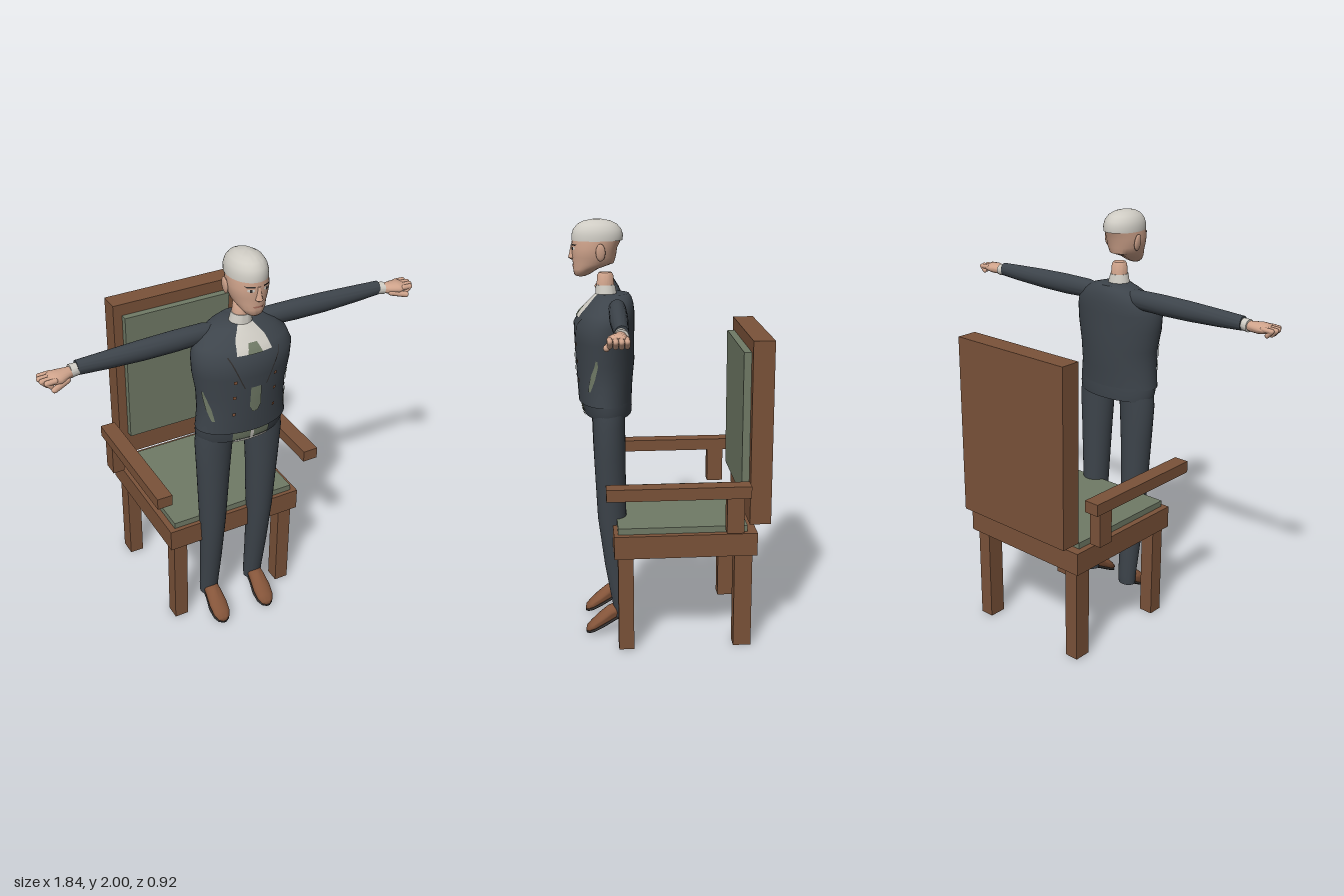
import * as THREE from 'three';
import { toCreasedNormals } from 'three/addons/utils/BufferGeometryUtils.js';

const mat = (name, color, side = THREE.FrontSide) => {
  const m = new THREE.MeshStandardMaterial({ color, side });
  m.name = name;
  return m;
};

// Closed tube through elliptical rings [y, radiusX, radiusZ, centreX, centreZ], listed upwards
function loft(rings, sides = 32) {
  const n = rings.length - 1;
  const geo = new THREE.CylinderGeometry(1, 1, 1, sides, n);
  const p = geo.attributes.position;
  for (let i = 0; i < p.count; i++) {
    const [y, rx, rz, cx, cz] = rings[Math.round((p.getY(i) + 0.5) * n)];
    p.setXYZ(i, cx + rx * p.getX(i), y, cz + rz * p.getZ(i));
  }
  return toCreasedNormals(geo, 0.8);
}

// Ring of a loft at height y
function ringAt(rings, y) {
  let i = 0;
  while (i < rings.length - 2 && rings[i + 1][0] < y) i++;
  const a = rings[i], b = rings[i + 1];
  const t = THREE.MathUtils.clamp((y - a[0]) / (b[0] - a[0]), 0, 1);
  return a.map((v, k) => v + (b[k] - v) * t);
}

// Thin skin lying on a loft, rows [y, x0, x1] upwards; x is measured along the front
function patch(rings, rows, lift = 0.004) {
  const cols = 6, steps = 6 * (rows.length - 1);
  const geo = new THREE.PlaneGeometry(1, 1, cols, steps);
  const p = geo.attributes.position;
  for (let i = 0; i < p.count; i++) {
    const [y, x0, x1] = ringAt(rows, rows[0][0] + (p.getY(i) + 0.5) * (rows[rows.length - 1][0] - rows[0][0]));
    const [, rx, rz, cx, cz] = ringAt(rings, y);
    const x = x0 + (x1 - x0) * (p.getX(i) + 0.5);
    const a = Math.asin(THREE.MathUtils.clamp(x / rx, -1, 1));
    p.setXYZ(i, cx + (rx + lift) * Math.sin(a), y, cz + (rz + lift) * Math.cos(a));
  }
  geo.computeVertexNormals();
  return geo;
}

const TORSO = [
  [1.16, 0.222, 0.125, 0, 0.297], [1.25, 0.212, 0.13, 0, 0.297], [1.35, 0.215, 0.138, 0, 0.295],
  [1.45, 0.235, 0.14, 0, 0.297], [1.53, 0.24, 0.142, 0, 0.297], [1.58, 0.222, 0.126, 0, 0.281],
  [1.62, 0.175, 0.105, 0, 0.265], [1.645, 0.13, 0.088, 0, 0.257], [1.66, 0.08, 0.075, 0, 0.255],
];
const HIPS = [
  [1.1, 0.21, 0.112, 0, 0.285], [1.13, 0.218, 0.117, 0, 0.288], [1.17, 0.218, 0.12, 0, 0.292],
];
const HEAD = [
  [1.742, 0.025, 0.022, 0, 0.4], [1.752, 0.04, 0.038, 0, 0.394], [1.775, 0.058, 0.058, 0, 0.377],
  [1.8, 0.072, 0.094, 0, 0.342], [1.83, 0.083, 0.1, 0, 0.338], [1.87, 0.09, 0.105, 0, 0.336],
  [1.91, 0.087, 0.113, 0, 0.325],
];
const HAIR = [
  [1.905, 0.088, 0.117, 0, 0.323], [1.93, 0.088, 0.118, 0, 0.322], [1.955, 0.081, 0.11, 0, 0.322],
  [1.978, 0.066, 0.09, 0, 0.322], [1.992, 0.043, 0.062, 0, 0.322], [2, 0.012, 0.02, 0, 0.322],
];

export function createModel() {
  const model = new THREE.Group();
  model.name = 'manWithArmchair';
  const D = THREE.DoubleSide;
  const wood = mat('wood', 0x7a5239), green = mat('sageCloth', 0x707a66, D);
  const suit = mat('suitCloth', 0x3d444b), skin = mat('skin', 0xd0a48c);
  const white = mat('whiteLinen', 0xcfccc4, D), leather = mat('shoeLeather', 0x85553a);
  const dark = mat('darkSole', 0x302d2c, D), lip = mat('lips', 0xa9705f, D);

  const add = (name, geo, material, parent = model) => {
    const m = new THREE.Mesh(geo, material);
    m.name = name;
    parent.add(m);
    return m;
  };
  const group = (name) => {
    const g = new THREE.Group();
    g.name = name;
    model.add(g);
    return g;
  };

  // Armchair: boxes given by their limits
  const chair = group('armchair');
  const box = (name, x0, x1, y0, y1, z0, z1, m) =>
    add(name, new THREE.BoxGeometry(x1 - x0, y1 - y0, z1 - z0), m, chair)
      .position.set((x0 + x1) / 2, (y0 + y1) / 2, (z0 + z1) / 2);
  box('seatFrame', -0.35, 0.35, 0.47, 0.58, -0.395, 0.275, wood);
  box('seatCushion', -0.32, 0.32, 0.58, 0.61, -0.35, 0.255, green);
  box('backrest', -0.325, 0.325, 0.615, 1.485, -0.46, -0.36, wood);
  box('backCushion', -0.28, 0.28, 0.74, 1.425, -0.36, -0.325, green);
  for (const s of [-1, 1]) {
    const side = (name, a, b, ...rest) => box(name, Math.min(s * a, s * b), Math.max(s * a, s * b), ...rest, wood);
    side('frontLeg', 0.257, 0.327, 0, 0.47, 0.185, 0.257);
    side('rearLeg', 0.257, 0.327, 0, 0.47, -0.375, -0.29);
    side('armrest', 0.355, 0.43, 0.78, 0.837, -0.35, 0.31);
    side('armPost', 0.36, 0.42, 0.61, 0.78, -0.32, -0.24);
  }

  // Jacket, waistcoat and shirt front
  const body = group('body');
  add('jacket', loft(TORSO, 48), suit, body);
  add('hips', loft(HIPS, 48), suit, body);
  add('waistcoatHem', patch(HIPS, [[1.112, -0.09, 0.09], [1.16, -0.09, 0.09]]), green, body);
  add('belt', patch(HIPS, [[1.1, -0.085, 0.085], [1.112, -0.085, 0.085]], 0.006), white, body);
  add('beltClasp', patch(HIPS, [[1.11, -0.008, 0.008], [1.155, -0.008, 0.008]], 0.007), white, body);
  add('shirtFront', patch(TORSO, [[1.56, -0.085, 0.085], [1.615, -0.07, 0.07], [1.66, -0.035, 0.035]]), white, body);
  add('tie', patch(TORSO, [[1.56, -0.035, 0.035], [1.6, -0.02, 0.02]], 0.007), green, body);
  add('waistcoat', patch(TORSO, [[1.27, -0.012, 0.012], [1.3, -0.027, 0.027], [1.4, -0.025, 0.025]]), green, body);
  for (const s of [-1, 1]) {
    const at = (rows) => rows.map(([y, a, b]) => s > 0 ? [y, a, b] : [y, -b, -a]);
    add('sidePanel', patch(TORSO, at([[1.23, 0.168, 0.18], [1.29, 0.18, 0.198], [1.38, 0.208, 0.212]])), green, body);
    add('lapelEdge', patch(TORSO, at([[1.4, 0.05, 0.055], [1.56, 0.12, 0.126]]), 0.003), dark, body);
    for (const y of [1.27, 1.36, 1.44])
      add('button', patch(TORSO, at([[y - 0.008, 0.089, 0.103], [y + 0.008, 0.089, 0.103]]), 0.006), leather, body);
  }

  // Neck and collar
  add('collar', loft([[1.645, 0.056, 0.052, 0, 0.285], [1.7, 0.042, 0.044, 0, 0.288]]), white, body);
  add('neck', loft([[1.69, 0.04, 0.042, 0, 0.288], [1.745, 0.036, 0.037, 0, 0.288],
    [1.757, 0.028, 0.03, 0, 0.288]]), skin, body);

  // Head
  const head = group('head');
  add('face', loft(HEAD, 40), skin, head);
  add('hair', loft(HAIR, 40), white, head);
  const nose = add('nose', loft([[1.817, 0.006, 0.006, 0, 0.437], [1.826, 0.017, 0.02, 0, 0.438],
    [1.845, 0.011, 0.014, 0, 0.438], [1.885, 0.007, 0.006, 0, 0.438]], 12), skin, head);
  nose.name = 'nose';
  add('mouth', patch(HEAD, [[1.787, -0.02, 0.02], [1.795, -0.024, 0.024]], 0.003), lip, head);
  for (const s of [-1, 1]) {
    const at = (rows) => rows.map(([y, a, b]) => s > 0 ? [y, a, b] : [y, -b, -a]);
    add('eye', patch(HEAD, at([[1.864, 0.026, 0.042], [1.87, 0.02, 0.05], [1.877, 0.024, 0.046]]), 0.002), white, head);
    add('pupil', patch(HEAD, at([[1.864, 0.03, 0.04], [1.877, 0.03, 0.04]]), 0.004), dark, head);
    add('eyebrow', patch(HEAD, at([[1.884, 0.016, 0.05], [1.89, 0.02, 0.058]]), 0.004), dark, head);
    const ear = add('ear', new THREE.SphereGeometry(1, 16, 12), skin, head);
    ear.scale.set(0.01, 0.04, 0.022);
    ear.position.set(s * 0.091, 1.856, 0.31);
    ear.rotation.z = -s * 0.12;
  }

  // Arms, hands, legs and shoes
  for (const s of [-1, 1]) {
    const arm = group(s > 0 ? 'leftArm' : 'rightArm');
    // Rings run outward along x: [x, halfHeight, halfDepth, y, z]
    const along = (rings, sides) => loft(rings.map(([x, h, d, y, z]) => [x, h, d, -s * y, z]), sides)
      .rotateZ(-s * Math.PI / 2);
    add('sleeve', along([[0.1, 0.035, 0.03, 1.61, 0.24], [0.16, 0.046, 0.04, 1.608, 0.24],
      [0.3, 0.049, 0.041, 1.606, 0.242], [0.45, 0.047, 0.04, 1.605, 0.244],
      [0.62, 0.04, 0.034, 1.605, 0.245], [0.745, 0.033, 0.029, 1.606, 0.245]]), suit, arm);
    add('cuff', along([[0.735, 0.027, 0.025, 1.603, 0.248], [0.775, 0.029, 0.031, 1.6, 0.248]]), white, arm);
    add('palm', along([[0.76, 0.02, 0.022, 1.6, 0.25], [0.79, 0.024, 0.033, 1.598, 0.256],
      [0.83, 0.026, 0.046, 1.598, 0.263], [0.86, 0.022, 0.045, 1.6, 0.262],
      [0.875, 0.012, 0.036, 1.6, 0.26]], 20), skin, arm);
    const digit = (name, r, a, b) => {
      const p = new THREE.Vector3(s * a[0], a[1], a[2]), q = new THREE.Vector3(s * b[0], b[1], b[2]);
      const m = add(name, new THREE.CapsuleGeometry(r, p.distanceTo(q), 4, 10), skin, arm);
      m.position.copy(p).add(q).multiplyScalar(0.5);
      m.quaternion.setFromUnitVectors(new THREE.Vector3(0, 1, 0), q.sub(p).normalize());
    };
    [0.9, 0.908, 0.905, 0.892].forEach((x, i) => {
      const z = 0.229 + i * 0.023;
      digit('finger', 0.012, [0.855, 1.604, z], [x, 1.602, z]);
      digit('fingertip', 0.011, [x, 1.6, z], [x - 0.02, 1.58, z]);
    });
    digit('thumb', 0.014, [0.8, 1.585, 0.285], [0.865, 1.572, 0.31]);

    const leg = group(s > 0 ? 'leftLeg' : 'rightLeg');
    add('trouserLeg', loft([[0.09, 0.046, 0.038, s * 0.126, 0.235], [0.14, 0.048, 0.042, s * 0.126, 0.235],
      [0.35, 0.054, 0.055, s * 0.127, 0.258], [0.6, 0.064, 0.068, s * 0.128, 0.276],
      [0.9, 0.08, 0.074, s * 0.129, 0.283], [1.06, 0.091, 0.076, s * 0.128, 0.285],
      [1.13, 0.088, 0.076, s * 0.124, 0.285]]), suit, leg);
    const shoe = new THREE.Group();
    shoe.name = 'shoe';
    shoe.position.set(s * 0.126, 0.077, 0.315);
    shoe.rotation.x = 0.5;
    leg.add(shoe);
    // Rings run from heel to toe
    add('shoeUpper', loft([[-0.105, 0.02, 0.02, 0, -0.002], [-0.085, 0.036, 0.032, 0, -0.008],
      [-0.04, 0.04, 0.036, 0, -0.01], [0.02, 0.046, 0.03, 0, -0.003], [0.07, 0.043, 0.022, 0, 0.004],
      [0.1, 0.03, 0.016, 0, 0.008], [0.113, 0.01, 0.006, 0, 0.012]], 24).rotateX(Math.PI / 2), leather, shoe);
    add('sole', loft([[-0.11, 0.018, 0.006, 0, 0.023], [-0.09, 0.036, 0.009, 0, 0.023],
      [-0.03, 0.038, 0.009, 0, 0.023], [0.03, 0.049, 0.009, 0, 0.022], [0.08, 0.044, 0.009, 0, 0.022],
      [0.105, 0.03, 0.008, 0, 0.021], [0.118, 0.01, 0.005, 0, 0.019]], 24).rotateX(Math.PI / 2), dark, shoe);
  }
  return model;
}
